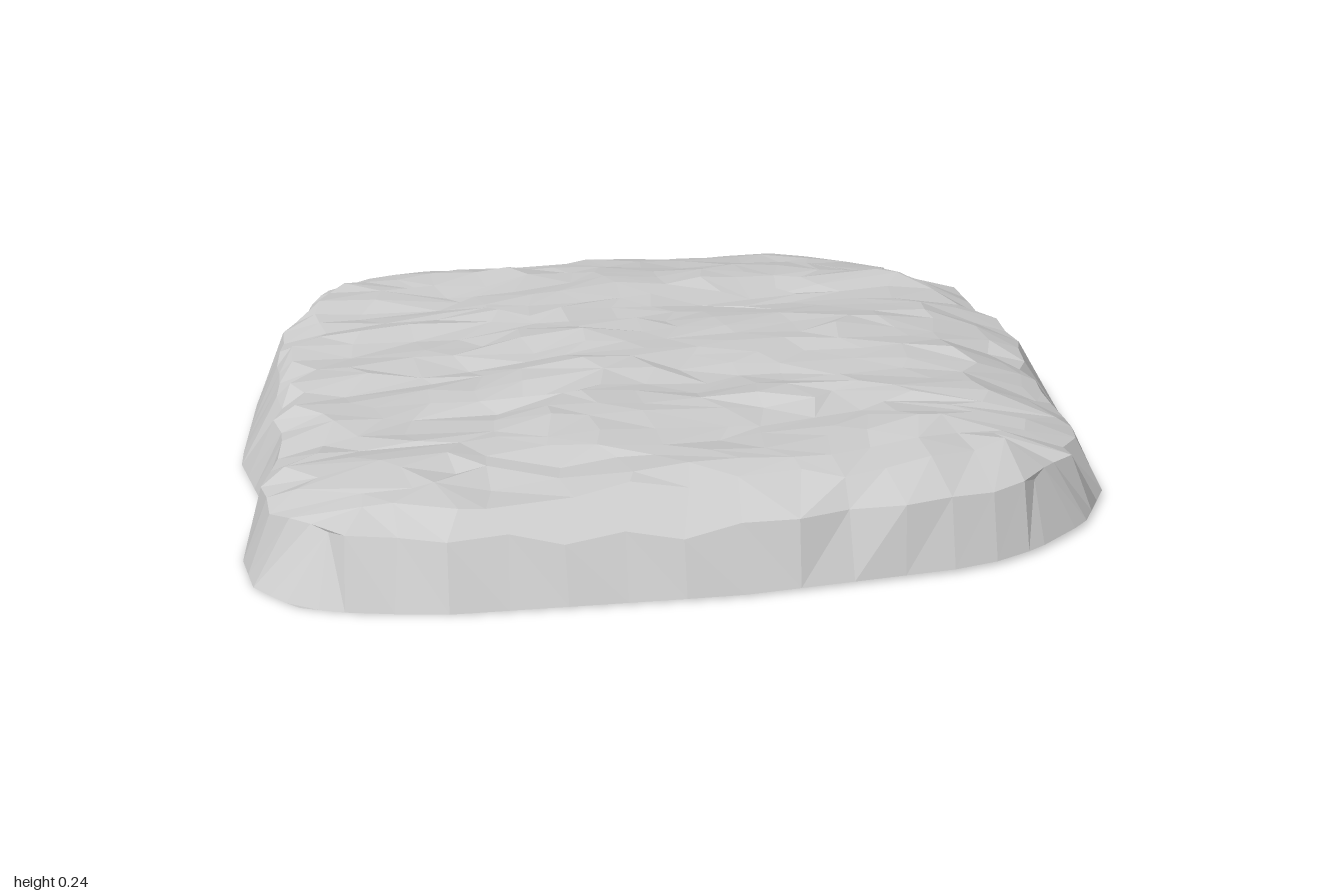
import * as THREE from 'three';

// Base outline of the slab as [x, z], going round once
const OUTLINE = [
  [-0.84, -0.78], [-0.7, -0.85], [-0.5, -0.89], [-0.05, -0.935], [0.5, -0.925], [0.7, -0.82],
  [0.8, -0.74], [0.91, -0.58], [0.94, -0.48], [0.96, -0.3], [1, -0.12], [0.98, 0.15],
  [0.95, 0.53], [0.86, 0.69], [0.72, 0.8], [0.58, 0.865], [0.05, 0.925], [-0.57, 0.925],
  [-0.75, 0.89], [-0.86, 0.85], [-0.95, 0.75], [-0.98, 0.6], [-0.94, 0.35], [-1, 0.1],
  [-0.97, -0.3], [-0.91, -0.6],
];

// Height profiles across the slab and along it, as [position, height]
const ACROSS = [[-1, 0.13], [-0.94, 0.15], [-0.87, 0.2], [-0.4, 0.215], [-0.17, 0.253], [0.05, 0.235],
  [0.2, 0.248], [0.53, 0.265], [0.7, 0.235], [0.85, 0.185], [0.95, 0.14], [1, 0.12]];
const ALONG = [[-0.94, 0.13], [-0.88, 0.15], [-0.83, 0.18], [-0.7, 0.195], [-0.62, 0.235], [-0.48, 0.245],
  [-0.38, 0.22], [-0.1, 0.245], [0, 0.265], [0.1, 0.235], [0.25, 0.245], [0.45, 0.24],
  [0.56, 0.258], [0.75, 0.225], [0.82, 0.2], [0.88, 0.13], [0.94, 0.11]];

function profile(points, t) {
  if (t <= points[0][0]) return points[0][1];
  for (let i = 1; i < points.length; i++) {
    const [a, ha] = points[i - 1], [b, hb] = points[i];
    if (t <= b) return ha + (hb - ha) * (t - a) / (b - a);
  }
  return points[points.length - 1][1];
}

// Distance from the centre to the outline along a unit direction
function reach(dx, dz) {
  for (let i = 0; i < OUTLINE.length; i++) {
    const [ax, az] = OUTLINE[i], [bx, bz] = OUTLINE[(i + 1) % OUTLINE.length];
    const ex = bx - ax, ez = bz - az;
    const det = dx * ez - dz * ex;
    if (Math.abs(det) < 1e-9) continue;
    const r = (ax * ez - az * ex) / det;
    const s = (ax * dz - az * dx) / det;
    if (r > 0 && s >= -1e-6 && s <= 1 + 1e-6) return r;
  }
  return 1;
}

function seeded(seed) {
  return () => {
    seed = (seed * 16807) % 2147483647;
    return seed / 2147483647;
  };
}

const bump = (x, z, cx, cz, w) => Math.exp(-((x - cx) ** 2 + (z - cz) ** 2) / (w * w));

// Grid lines: the rim, the shoulder, then even spacing inside
function gridLines(count) {
  const lines = [-1, -0.94];
  for (let i = 0; i < count; i++) lines.push(-0.86 + 1.72 * i / (count - 1));
  return [...lines, 0.94, 1];
}

function slabGeometry() {
  const rand = seeded(4711);
  const us = gridLines(14), vs = gridLines(24);
  const positions = [], index = [];

  vs.forEach((v0, j) => us.forEach((u0, i) => {
    const ring = Math.min(i, j, us.length - 1 - i, vs.length - 1 - j);
    let u = u0, v = v0;
    if (ring > 1) {
      u += (rand() - 0.5) * 0.085;
      v += (rand() - 0.5) * 0.042;
    }
    // Fit the square grid to the outline
    const m = Math.max(Math.abs(u), Math.abs(v)), len = Math.hypot(u, v) || 1;
    let r = m * reach(u / len, v / len);
    if (ring === 1) r *= 1 + (rand() - 0.5) * 0.035;
    let x = r * u / len;
    const z = r * v / len;
    let y;
    if (ring === 0) {
      y = 0.018 - 0.012 * z + 0.006 * x; // open lower edge
    } else {
      // Notches in the two side walls
      if (ring === 1) x -= 0.05 * bump(x, z, 0.95, 0.15, 0.16) - 0.04 * bump(x, z, -0.95, 0.05, 0.15);
      y = Math.min(profile(ACROSS, x), profile(ALONG, z));
      if (ring === 1) {
        y = Math.min(y, 0.155) - rand() * 0.015;
      } else {
        // Layered ripples that run across the slab
        const wave = Math.sin(21 * z + 2.2 * Math.sin(2.4 * x + 1) + 1.5 * Math.sin(5 * z));
        y -= 0.008 * (1 + wave) + 0.018 * rand();
      }
      y -= 0.05 * bump(x, z, 0.76, -0.66, 0.12); // chipped corner
    }
    positions.push(x, Math.max(y, 0), z);
  }));

  const w = us.length;
  for (let j = 0; j < vs.length - 1; j++) {
    for (let i = 0; i < w - 1; i++) {
      const a = j * w + i, b = a + 1, c = a + w, d = c + 1;
      // Corner cells split away from the corner; the others vary
      const right = i > w / 2, near = j > vs.length / 2;
      const edge = Math.min(i, j, w - 2 - i, vs.length - 2 - j) < 2;
      const split = edge ? right === near : rand() < 0.5;
      if (split) index.push(a, c, b, b, c, d);
      else index.push(a, c, d, a, d, b);
    }
  }

  const geometry = new THREE.BufferGeometry();
  geometry.setAttribute('position', new THREE.Float32BufferAttribute(positions, 3));
  geometry.setIndex(index);
  geometry.computeVertexNormals();
  return geometry;
}

export function createModel() {
  const group = new THREE.Group();
  group.name = 'rock';
  const stone = new THREE.MeshStandardMaterial({ color: 0xcccccc, flatShading: true, side: THREE.DoubleSide });
  const slab = new THREE.Mesh(slabGeometry(), stone);
  slab.name = 'rockSlab';
  group.add(slab);
  return group;
}
